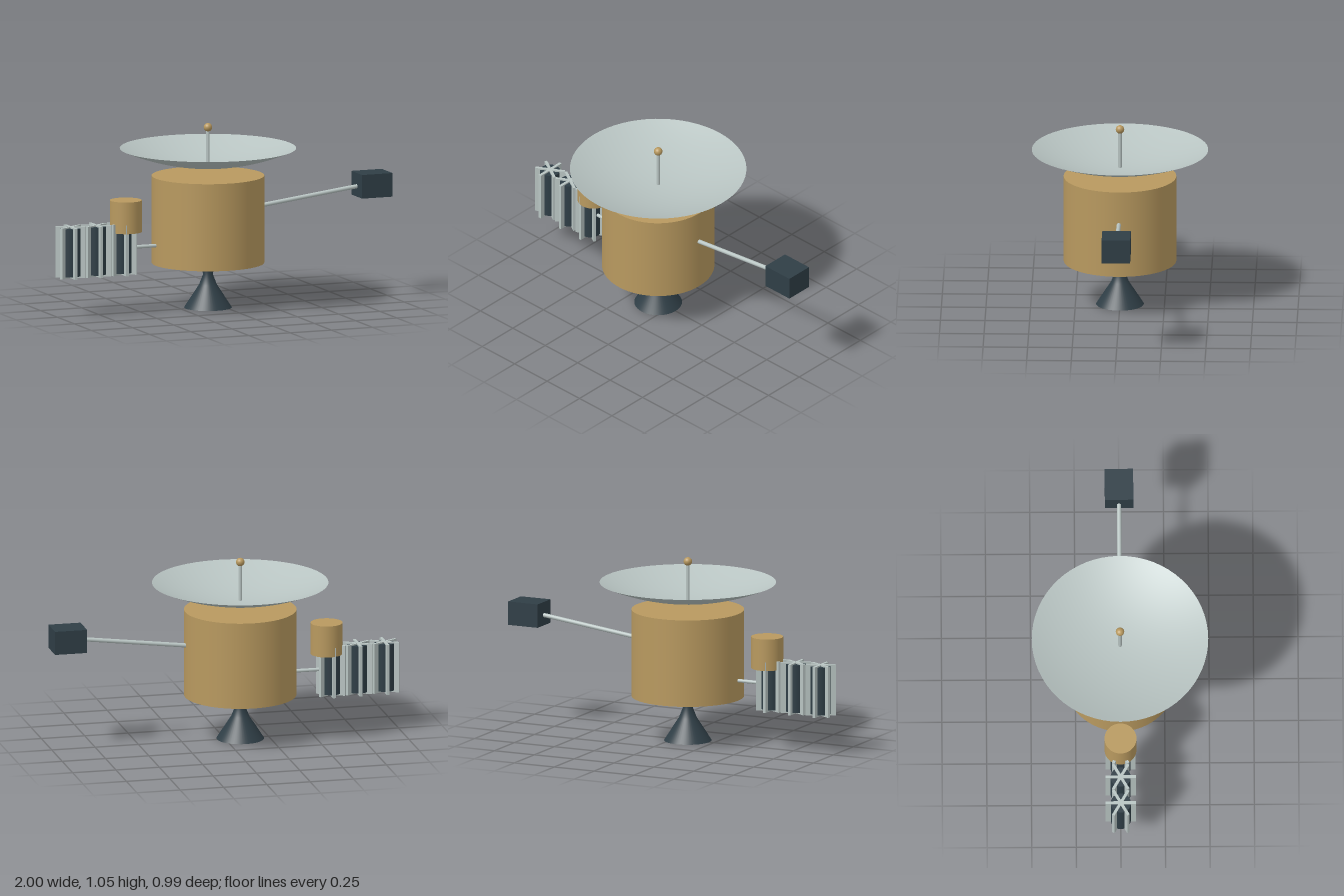
import * as THREE from 'three';

const mat = (color, side = THREE.FrontSide) => new THREE.MeshStandardMaterial({ color, side });
const gold = mat(0xb8995f);
const dark = mat(0x2f3e46);
const darkThin = mat(0x2f3e46, THREE.DoubleSide);
const silver = mat(0xb8c4c2);
const silverThin = mat(0xb8c4c2, THREE.DoubleSide);

function add(parent, name, geometry, material, x = 0, y = 0, z = 0) {
  const mesh = new THREE.Mesh(geometry, material);
  mesh.name = name;
  mesh.position.set(x, y, z);
  parent.add(mesh);
  return mesh;
}

// Upright cylinder between two heights
function drum(parent, name, radius, y0, y1, x, material, segments = 64) {
  return add(parent, name, new THREE.CylinderGeometry(radius, radius, y1 - y0, segments), material, x, (y0 + y1) / 2);
}

// Straight rod between two points
function rod(parent, name, from, to, radius) {
  const a = new THREE.Vector3(...from), b = new THREE.Vector3(...to);
  const mesh = add(parent, name, new THREE.CylinderGeometry(radius, radius, a.distanceTo(b), 16), silver);
  mesh.position.copy(a).lerp(b, 0.5);
  mesh.quaternion.setFromUnitVectors(new THREE.Vector3(0, 1, 0), b.sub(a).normalize());
  return mesh;
}

export function createModel() {
  const model = new THREE.Group();
  model.name = 'spaceProbe';
  const cx = -0.087;

  // Main body
  drum(model, 'body', 0.316, 0.255, 0.75, cx, gold);

  // Engine collar and open nozzle bell
  drum(model, 'engineCollar', 0.04, 0.225, 0.26, cx, gold, 32);
  const bell = [[0.134, 0], [0.05, 0.13], [0.027, 0.19], [0.036, 0.226]];
  add(model, 'nozzle', new THREE.LatheGeometry(bell.map(([r, y]) => new THREE.Vector2(r, y)), 48), darkThin, cx);

  // Parabolic dish with feed mast
  const curve = [];
  for (let i = 0; i <= 16; i++) {
    const t = i / 16;
    curve.push(new THREE.Vector2(0.495 * t, 0.8 + 0.105 * t * t));
  }
  add(model, 'dish', new THREE.LatheGeometry(curve, 64), silverThin, cx);
  drum(model, 'feedMast', 0.01, 0.8, 1.01, cx, silver, 16);
  add(model, 'feedTip', new THREE.SphereGeometry(0.024, 24, 16), gold, cx, 1.023);

  // Instrument boom on the left
  rod(model, 'instrumentBoom', [0.2, 0.555, 0], [0.85, 0.636, 0], 0.012);
  add(model, 'instrumentBox', new THREE.BoxGeometry(0.185, 0.134, 0.16), dark, 0.9075, 0.64);

  // Power boom on the right, carrying three finned generators
  rod(model, 'powerBoom', [-0.6, 0.37, 0], [-0.38, 0.37, 0], 0.01);
  for (const x of [-0.92, -0.765, -0.61]) {
    const generator = new THREE.Group();
    generator.name = 'generator';
    generator.position.x = x;
    drum(generator, 'generatorCore', 0.057, 0.23, 0.502, 0, dark, 32);
    for (const angle of [30, 90, 150]) {
      const fin = add(generator, 'coolingFins', new THREE.BoxGeometry(0.17, 0.29, 0.016), silver, 0, 0.365);
      fin.rotation.y = THREE.MathUtils.degToRad(angle);
    }
    model.add(generator);
  }

  // Canister above the innermost generator
  drum(model, 'canister', 0.09, 0.46, 0.64, -0.585, gold, 40);

  return model;
}
